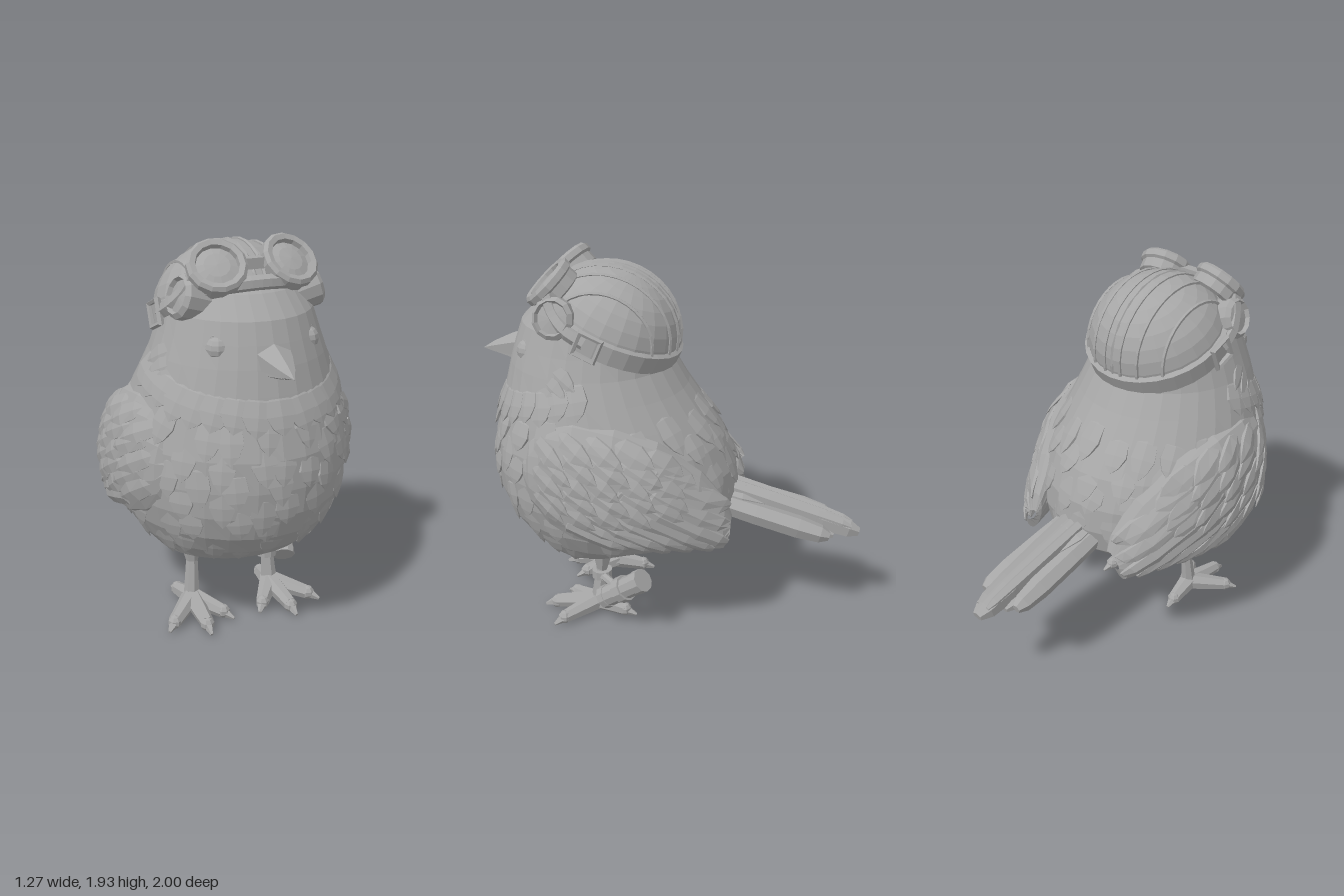
import * as THREE from 'three';
import { mergeGeometries } from 'three/addons/utils/BufferGeometryUtils.js';
import { ParametricGeometry } from 'three/addons/geometries/ParametricGeometry.js';

const V = (x, y, z) => new THREE.Vector3(x, y, z);
const grey = new THREE.MeshStandardMaterial({ color: 0xa6a6a6, flatShading: true });
grey.name = 'grey';

let seed = 7;
const rand = () => (seed = (seed * 16807) % 2147483647) / 2147483647;

function add(parent, name, geo) {
  const m = new THREE.Mesh(geo, grey);
  m.name = name;
  parent.add(m);
  return m;
}

// linear lookup in rows sorted by ascending first column
function lookup(rows, k) {
  let i = 0;
  while (i < rows.length - 2 && k > rows[i + 1][0]) i++;
  const a = rows[i], b = rows[i + 1];
  const t = THREE.MathUtils.clamp((k - a[0]) / (b[0] - a[0]), 0, 1);
  return a.map((v, j) => v + (b[j] - v) * t);
}

// body rows: height, front z, back z, half width
const BODY = [
  [0.325, 0.4, 0.34, 0], [0.335, 0.5, 0.28, 0.16], [0.37, 0.6, 0.2, 0.3], [0.42, 0.7, 0.06, 0.39],
  [0.5, 0.8, -0.2, 0.47], [0.6, 0.875, -0.32, 0.53], [0.72, 0.92, -0.345, 0.56], [0.85, 0.935, -0.33, 0.57],
  [1.0, 0.93, -0.27, 0.555], [1.15, 0.89, -0.17, 0.51], [1.28, 0.86, -0.08, 0.465], [1.4, 0.83, -0.01, 0.42],
  [1.5, 0.8, 0.01, 0.385], [1.6, 0.765, 0.02, 0.355], [1.7, 0.67, 0.03, 0.31], [1.79, 0.52, 0.12, 0.2],
  [1.84, 0.4, 0.3, 0]];
function bodyPoint(y, a) {
  const [, f, b, w] = lookup(BODY, y);
  return V(w * Math.sin(a), y, (f + b) / 2 + (f - b) / 2 * Math.cos(a));
}

// wing rows: z, centre height, half height, outermost x, half thickness
const WING = [
  [-0.35, 0.64, 0.04, 0.33, 0.03], [-0.32, 0.65, 0.12, 0.37, 0.06], [-0.2, 0.74, 0.2, 0.455, 0.1],
  [0, 0.84, 0.28, 0.56, 0.12], [0.2, 0.89, 0.31, 0.605, 0.12], [0.4, 0.92, 0.31, 0.6, 0.12],
  [0.53, 0.94, 0.28, 0.56, 0.12], [0.63, 0.95, 0.21, 0.505, 0.11], [0.68, 0.95, 0.06, 0.44, 0.05]];
const FLARE = 0.03; // the lower edge stands away from the body
function wingX(z, y) {
  const [, cy, h, x, t] = lookup(WING, z), k = THREE.MathUtils.clamp((y - cy) / h, -1, 1);
  return x - t + t * Math.sqrt(Math.max(0.12, 1 - k * k)) - FLARE * k;
}

// leaf-shaped feather between two points, flattened along a normal
const lathe = (pts, n) => new THREE.LatheGeometry(pts.map(p => new THREE.Vector2(...p)), n);
const LEAF = [[0, 0], [0.42, 0.2], [0.5, 0.55], [0.3, 0.82], [0, 1]];
const BLUNT = [[0, 0], [0.45, 0.05], [0.5, 0.4], [0.5, 0.75], [0.4, 0.93], [0.2, 1], [0, 1]];
function feather(a, b, normal, width, thick, profile = LEAF) {
  const dir = b.clone().sub(a), len = dir.length();
  dir.normalize();
  const side = dir.clone().cross(normal).normalize();
  const n = side.clone().cross(dir);
  const m = new THREE.Matrix4().makeBasis(side, dir, n).setPosition(a);
  return lathe(profile, 6).scale(width, len, thick).applyMatrix4(m);
}

// tapered round bar between two points
function bar(a, b, r1, r2, n = 7) {
  const d = b.clone().sub(a);
  const g = new THREE.CylinderGeometry(r2, r1, d.length(), n);
  const q = new THREE.Quaternion().setFromUnitVectors(V(0, 1, 0), d.normalize());
  return g.applyQuaternion(q).translate((a.x + b.x) / 2, (a.y + b.y) / 2, (a.z + b.z) / 2);
}

// feather lying on the body, its root sunk in and its tip lifted
function tuft(y, a, len, w, lift, turn = 0) {
  const p = bodyPoint(y, a), q = bodyPoint(y - len, a + turn);
  const n = bodyPoint(y, a + 0.05).sub(bodyPoint(y, a - 0.05)).cross(p.clone().sub(bodyPoint(y - len, a))).normalize();
  return feather(p.addScaledVector(n, -0.015), q.addScaledVector(n, lift), n, w, 0.03);
}

function buildWing(root, s) {
  const wing = new THREE.Group();
  wing.name = s > 0 ? 'leftWing' : 'rightWing';
  root.add(wing);
  const last = WING.length - 1;
  add(wing, 'wingBase', new ParametricGeometry((u, v, p) => {
    const [z, cy, h, x, t] = WING[last - Math.round(v * last)], a = u * Math.PI * 2;
    const k = -s * Math.sin(a);
    p.set(s * (x - t + t * Math.cos(a) - FLARE * k), cy + h * k, z);
  }, 16, last));
  // feather draped over the wing surface, rising towards its tip
  const drape = (z1, y1, z2, y2, w, t, lift, profile) => {
    const g = feather(V(0, y1, z1), V(0, y2, z2), V(s, 0, 0), w, t, profile), p = g.attributes.position;
    for (let i = 0; i < p.count; i++) {
      const z = p.getZ(i), k = THREE.MathUtils.clamp((z1 - z) / (z1 - z2), 0, 1);
      p.setX(i, p.getX(i) + s * (wingX(z, p.getY(i)) - 0.01 + lift * k));
    }
    return g;
  };
  // long flight feathers fanning to the wing tip
  const flight = [];
  for (let k = 0; k < 8; k++) {
    const t = k / 7, e = Math.min(1, t * 1.5);
    flight.push(drape(0.44 - 0.38 * t, 0.71 + 0.33 * t, 0.12 - 0.46 * e,
      0.6 - 0.06 * e + Math.max(0, t - 0.66) * 0.6, 0.085, 0.045, 0.02, BLUNT));
  }
  add(wing, 'flightFeathers', mergeGeometries(flight));
  // shorter overlapping rows on the shoulder
  const coverts = [];
  for (let r = 0; r < 5; r++) for (let k = 0; k < 5; k++) {
    const z = 0.62 - r * 0.14 - 0.03 * (k % 2), [, cy, h] = lookup(WING, z);
    const y = cy + h * (-0.45 + r * 0.14 + k * (0.32 - r * 0.035));
    coverts.push(drape(z, y, z - 0.19 - 0.03 * rand(), y - 0.11 - 0.03 * rand(), 0.11, 0.035, 0.032));
  }
  add(wing, 'shoulderFeathers', mergeGeometries(coverts));
}

function buildLeg(root, s) {
  const leg = new THREE.Group();
  leg.name = s > 0 ? 'leftLeg' : 'rightLeg';
  root.add(leg);
  const ankle = V(s * 0.22, 0.065, 0.37);
  add(leg, 'shin', bar(ankle, V(s * 0.21, 0.27, 0.35), 0.042, 0.03));
  add(leg, 'thigh', bar(V(s * 0.21, 0.26, 0.35), V(s * 0.21, 0.4, 0.34), 0.03, 0.065));
  const toes = [[0.23, 0.6, 0.04], [0.37, 0.52, 0.035], [0.11, 0.52, 0.035], [0.24, 0.22, 0.035]];
  for (const [x, z, y] of toes) {
    const end = V(s * x, y, z), dir = end.clone().sub(ankle).setY(0).normalize();
    add(leg, 'toe', bar(ankle, end, 0.052, 0.035));
    add(leg, 'toePad', new THREE.SphereGeometry(0.036, 7, 5).translate(end.x, 0.036, end.z));
    add(leg, 'claw', bar(end, end.clone().addScaledVector(dir, 0.065).setY(0.012), 0.03, 0.008, 5));
  }
}

function buildHelmet(root) {
  const helmet = new THREE.Group();
  helmet.name = 'helmet';
  helmet.position.set(0, 1.56, 0.31);
  helmet.rotation.x = -0.41;
  root.add(helmet);
  const w = 0.365, h = 0.315, d = 0.355;
  add(helmet, 'dome', new THREE.SphereGeometry(1, 24, 8, 0, Math.PI * 2, 0, Math.PI / 2).scale(w, h, d));
  const band = [[0.9, -0.05], [1.04, -0.05], [1.05, 0.04], [0.98, 0.05]];
  add(helmet, 'band', lathe(band, 28).scale(w, 1, d));
  // raised seams running front to back
  for (const k of [-0.25, -0.14, -0.05, 0.05, 0.14, 0.25]) {
    const s = Math.sqrt(1 - (k / w) ** 2), pts = [];
    for (let i = 0; i <= 10; i++) {
      const t = i / 10 * Math.PI;
      pts.push(V(k, h * s * Math.sin(t), d * s * Math.cos(t)));
    }
    add(helmet, 'seam', new THREE.TubeGeometry(new THREE.CatmullRomCurve3(pts), 16, 0.01, 5));
  }
  add(helmet, 'crownStrip', new THREE.SphereGeometry(1, 6, 10, 0, Math.PI, 0, Math.PI).rotateX(-Math.PI / 2)
    .scale(0.05, h + 0.008, d + 0.008));
}

function buildGoggles(root) {
  const goggles = new THREE.Group();
  goggles.name = 'goggles';
  root.add(goggles);
  const rim = [[0.1, -0.06], [0.125, -0.05], [0.125, 0], [0.14, 0.01], [0.14, 0.04], [0.125, 0.055], [0.1, 0.05], [0.095, 0.025]];
  for (const s of [-1, 1]) {
    const lens = new THREE.Group();
    lens.name = 'lens';
    lens.position.set(s * 0.175, 1.8, 0.56);
    lens.rotation.set(Math.PI / 4, 0, -s * 0.15);
    goggles.add(lens);
    add(lens, 'rim', lathe(rim, 14));
    add(lens, 'glass', lathe([[0.1, 0.025], [0.06, 0.038], [0, 0.043]], 14));
    // round cup at the side of the head
    const cup = add(goggles, 'sideCup', lathe([[0.1, -0.1], [0.105, 0.02], [0.085, 0.04], [0.075, 0.02], [0, 0.03]], 12));
    cup.position.set(s * 0.315, 1.68, 0.52);
    cup.rotation.set(0.3, 0, -s * 1.25);
    // strap from lens to cup to helmet band
    const path = new THREE.CatmullRomCurve3([V(s * 0.27, 1.79, 0.56), V(s * 0.3, 1.71, 0.53), V(s * 0.34, 1.635, 0.46), V(s * 0.355, 1.58, 0.36)]);
    add(goggles, 'strap', new THREE.TubeGeometry(path, 10, 0.04, 6));
    const buckle = add(goggles, 'buckle', new THREE.TorusGeometry(0.078, 0.017, 5, 4).rotateZ(Math.PI / 4).rotateY(Math.PI / 2));
    buckle.position.set(s * 0.385, 1.57, 0.345);
    buckle.rotation.x = -0.41;
  }
  add(goggles, 'bridge', new THREE.BoxGeometry(0.14, 0.05, 0.05)).position.set(0, 1.82, 0.57);
  // strap crossing the brow under the lenses
  const brow = new THREE.CatmullRomCurve3([V(-0.31, 1.69, 0.5), V(-0.18, 1.73, 0.61), V(0, 1.745, 0.645), V(0.18, 1.73, 0.61), V(0.31, 1.69, 0.5)]);
  add(goggles, 'browStrap', new THREE.TubeGeometry(brow, 16, 0.035, 6));
}

export function createModel() {
  seed = 7;
  const bird = new THREE.Group();
  bird.name = 'bird';

  const last = BODY.length - 1;
  add(bird, 'body', new ParametricGeometry((u, v, p) => {
    p.copy(bodyPoint(BODY[Math.round(v * last)][0], u * Math.PI * 2));
  }, 30, last));

  // staggered tufts over breast, belly and back
  const tufts = [];
  for (let r = 0; r < 6; r++) for (let k = 0; k < 20; k++) {
    const a = (k + (r % 2) / 2 + 0.5 * rand()) / 20 * Math.PI * 2, y = 0.62 + r * 0.115 + 0.06 * rand();
    if (y < 0.8 && Math.cos(a) < -0.2) continue;
    tufts.push(tuft(y, a, 0.17 + 0.06 * rand(), 0.14, 0.014, 0.12 * (rand() - 0.5)));
  }
  add(bird, 'bodyTufts', mergeGeometries(tufts));

  // collar of face feathers, rising towards the back of the cheeks
  const ruff = [];
  for (let k = -8; k <= 8; k++) {
    ruff.push(tuft(1.3 + 0.0018 * k * k, k * 0.19, 0.16 + 0.04 * rand(), 0.17, 0.02, Math.sign(k) * 0.05));
  }
  for (const s of [-1, 1]) for (let k = 0; k < 3; k++) {
    ruff.push(tuft(1.36 + 0.05 * k, s * (1.0 + 0.1 * k), 0.1, 0.12, 0.012, s * 0.4));
  }
  add(bird, 'faceRuff', mergeGeometries(ruff));

  for (const s of [-1, 1]) {
    buildWing(bird, s);
    buildLeg(bird, s);
    add(bird, 'eye', new THREE.SphereGeometry(0.058, 10, 8)).position.set(s * 0.22, 1.48, 0.685);
    add(bird, 'eyelid', new THREE.TorusGeometry(0.058, 0.014, 5, 10).rotateY(s * 0.6)).position.set(s * 0.222, 1.48, 0.69);
  }

  // beak in two halves
  add(bird, 'upperBeak', feather(V(0, 1.45, 0.68), V(0, 1.4, 1.0), V(0, 1, 0), 0.2, 0.15,
    [[0, 0], [0.5, 0.3], [0.4, 0.5], [0.2, 0.8], [0, 1]]));
  add(bird, 'lowerBeak', feather(V(0, 1.4, 0.7), V(0, 1.385, 0.95), V(0, 1, 0), 0.15, 0.1,
    [[0, 0], [0.5, 0.4], [0, 1]]));

  // tail: long middle feather over shorter, lower side feathers
  const tail = [feather(V(0, 0.725, -0.22), V(0, 0.5, -0.99), V(0, 1, 0.3), 0.15, 0.12, BLUNT)];
  for (const s of [-1, 1]) {
    tail.push(feather(V(s * 0.1, 0.68, -0.2), V(s * 0.115, 0.52, -0.84), V(s * 0.3, 1, 0.3), 0.12, 0.12, BLUNT));
    tail.push(feather(V(s * 0.05, 0.75, -0.22), V(s * 0.03, 0.535, -0.95), V(0, 1, 0.3), 0.07, 0.08, BLUNT));
    tail.push(feather(V(s * 0.05, 0.65, -0.2), V(s * 0.05, 0.495, -0.86), V(0, 1, 0.3), 0.11, 0.09, BLUNT));
  }
  tail.push(feather(V(0, 0.72, -0.1), V(0, 0.61, -0.6), V(0, 1, 0.3), 0.26, 0.15));
  add(bird, 'tail', mergeGeometries(tail));

  buildHelmet(bird);
  buildGoggles(bird);

  // message tube strapped to the left leg
  const low = V(0.335, 0.165, 0.3), high = V(0.415, 0.335, 0.09), at = t => low.clone().lerp(high, t);
  add(bird, 'messageTube', bar(low, high, 0.058, 0.058, 10));
  add(bird, 'tubeCap', bar(at(0.86), at(1.04), 0.062, 0.062, 10));
  add(bird, 'tubeRim', bar(at(-0.04), at(0.1), 0.062, 0.062, 10));
  add(bird, 'tubeCollar', bar(at(0.4), at(0.58), 0.07, 0.07, 10));
  add(bird, 'legBand', new THREE.CylinderGeometry(0.055, 0.055, 0.045, 10)).position.set(0.21, 0.235, 0.35);
  add(bird, 'bandLink', bar(V(0.24, 0.235, 0.34), V(0.36, 0.235, 0.22), 0.022, 0.022));
  return bird;
}
